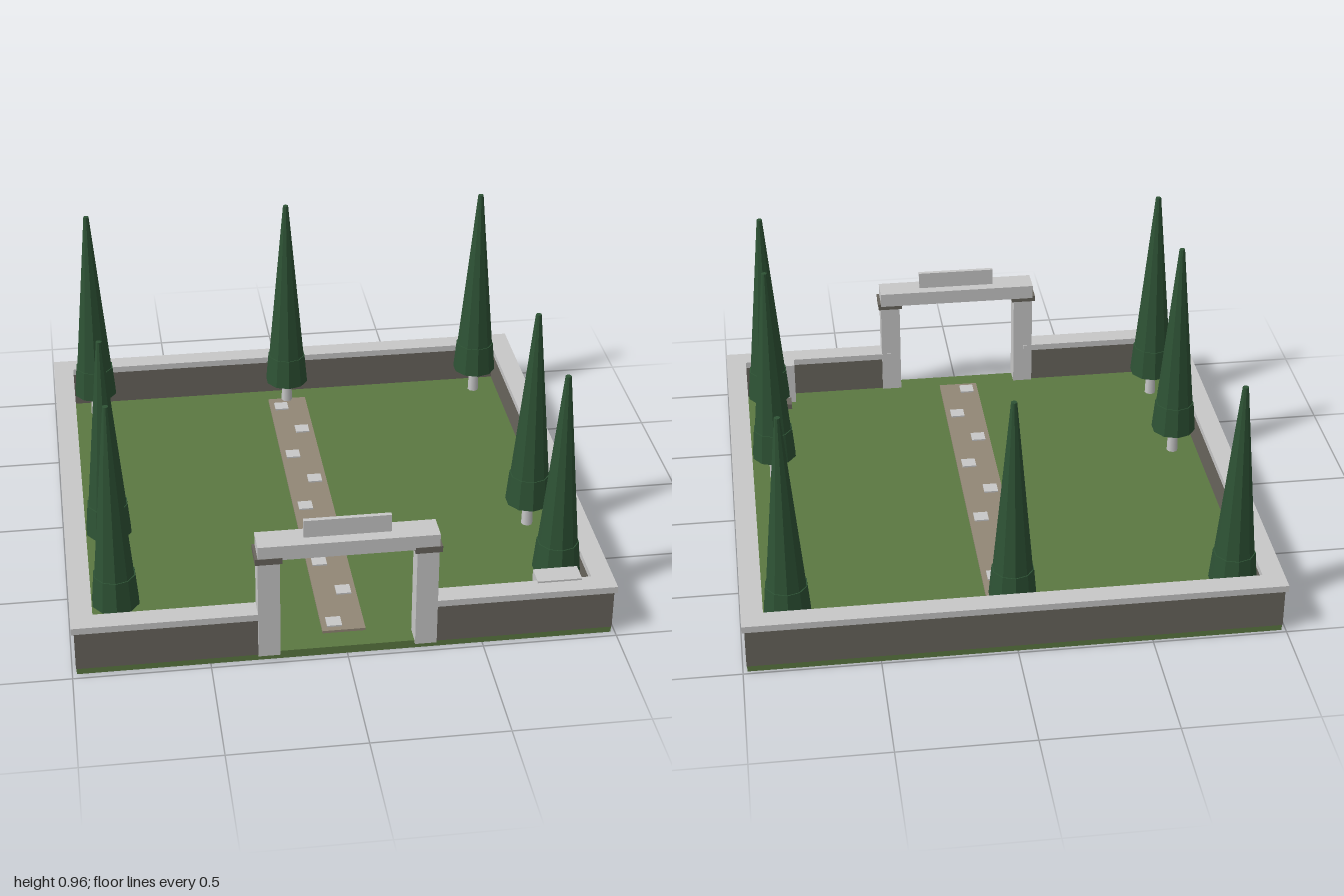
import * as THREE from 'three';

const material = (name, color, flatShading = false) => {
  const m = new THREE.MeshStandardMaterial({ color, flatShading });
  m.name = name;
  return m;
};

export function createModel() {
  const root = new THREE.Group();
  root.name = 'walledGarden';
  const grass = material('grass green', 0x5b7841);
  const wallStone = material('dark wall stone', 0x69655d);
  const paleStone = material('pale stone', 0xc8c8c8);
  const gravel = material('path brown', 0x928776);
  const foliage = material('cypress green', 0x2e5335, true);

  // Box given by its minimum and maximum on each axis
  function box(name, mat, [x0, x1], [y0, y1], [z0, z1], parent = root) {
    const mesh = new THREE.Mesh(new THREE.BoxGeometry(x1 - x0, y1 - y0, z1 - z0), mat);
    mesh.position.set((x0 + x1) / 2, (y0 + y1) / 2, (z0 + z1) / 2);
    mesh.name = name;
    parent.add(mesh);
    return mesh;
  }
  const mirrored = (s, a, b) => (s > 0 ? [a, b] : [-b, -a]);

  // Lawn slab
  box('lawn', grass, [-0.984, 0.984], [0, 0.032], [-0.988, 0.976]);

  // Perimeter walls and their coping, open at the front gate
  const wallY = [0.024, 0.18], capY = [0.18, 0.206];
  box('backWall', wallStone, [-0.986, 0.986], wallY, [-0.99, -0.93]);
  box('backCoping', paleStone, [-0.996, 0.996], capY, [-1, -0.92]);
  for (const s of [1, -1]) {
    box('sideWall', wallStone, mirrored(s, 0.925, 0.986), wallY, [-0.93, 0.978]);
    box('sideCoping', paleStone, mirrored(s, 0.915, 0.996), capY, [-0.92, 0.986]);
    box('frontWall', wallStone, mirrored(s, 0.29, 0.925), wallY, [0.917, 0.978]);
    box('frontCoping', paleStone, mirrored(s, 0.29, 0.915), capY, [0.906, 0.986]);
  }

  // Gateway
  const gate = new THREE.Group();
  gate.name = 'gateway';
  root.add(gate);
  for (const s of [1, -1]) {
    box('gatePillar', paleStone, mirrored(s, 0.247, 0.327), [0.025, 0.43], [0.908, 0.99], gate);
    box('pillarCapital', wallStone, mirrored(s, 0.238, 0.337), [0.427, 0.452], [0.897, 1], gate);
  }
  box('gateBeam', paleStone, [-0.327, 0.327], [0.443, 0.501], [0.896, 0.999], gate);
  box('gatePanel', paleStone, [-0.158, 0.158], [0.5, 0.57], [0.937, 0.954], gate);

  // Path with alternating stepping stones
  box('path', gravel, [-0.08, 0.08], [0.03, 0.042], [-0.84, 0.89]);
  for (let i = 0; i < 9; i++) {
    const x = i % 2 ? 0.032 : -0.032, z = 0.84 - i * 0.201;
    box('steppingStone', paleStone, [x - 0.028, x + 0.028], [0.04, 0.048], [z - 0.028, z + 0.028]);
  }

  // Stone block and low slab in the front corner
  box('cornerBlock', paleStone, [0.71, 0.876], [-0.001, 0.213], [0.843, 0.924]);
  box('cornerSlab', wallStone, [0.73, 0.858], [0.03, 0.055], [0.785, 0.845]);

  // Cypress trees: trunk, flared skirt and tall tapering crown
  const trunkGeo = new THREE.CylinderGeometry(0.02, 0.023, 0.13, 8);
  const skirtGeo = new THREE.CylinderGeometry(0.079, 0.09, 0.125, 10);
  const crownGeo = new THREE.CylinderGeometry(0.011, 0.077, 0.72, 10);
  const places = [[0, -0.835]];
  for (const z of [-0.835, 0.257, 0.737]) places.push([-0.825, z], [0.825, z]);
  for (const [x, z] of places) {
    const tree = new THREE.Group();
    tree.name = 'cypress';
    tree.position.set(x, 0, z);
    const pieces = [['trunk', trunkGeo, paleStone, 0.095], ['skirt', skirtGeo, foliage, 0.2025],
      ['crown', crownGeo, foliage, 0.603]];
    for (const [name, geo, mat, y] of pieces) {
      const mesh = new THREE.Mesh(geo, mat);
      mesh.name = name;
      mesh.position.y = y;
      tree.add(mesh);
    }
    root.add(tree);
  }
  return root;
}
